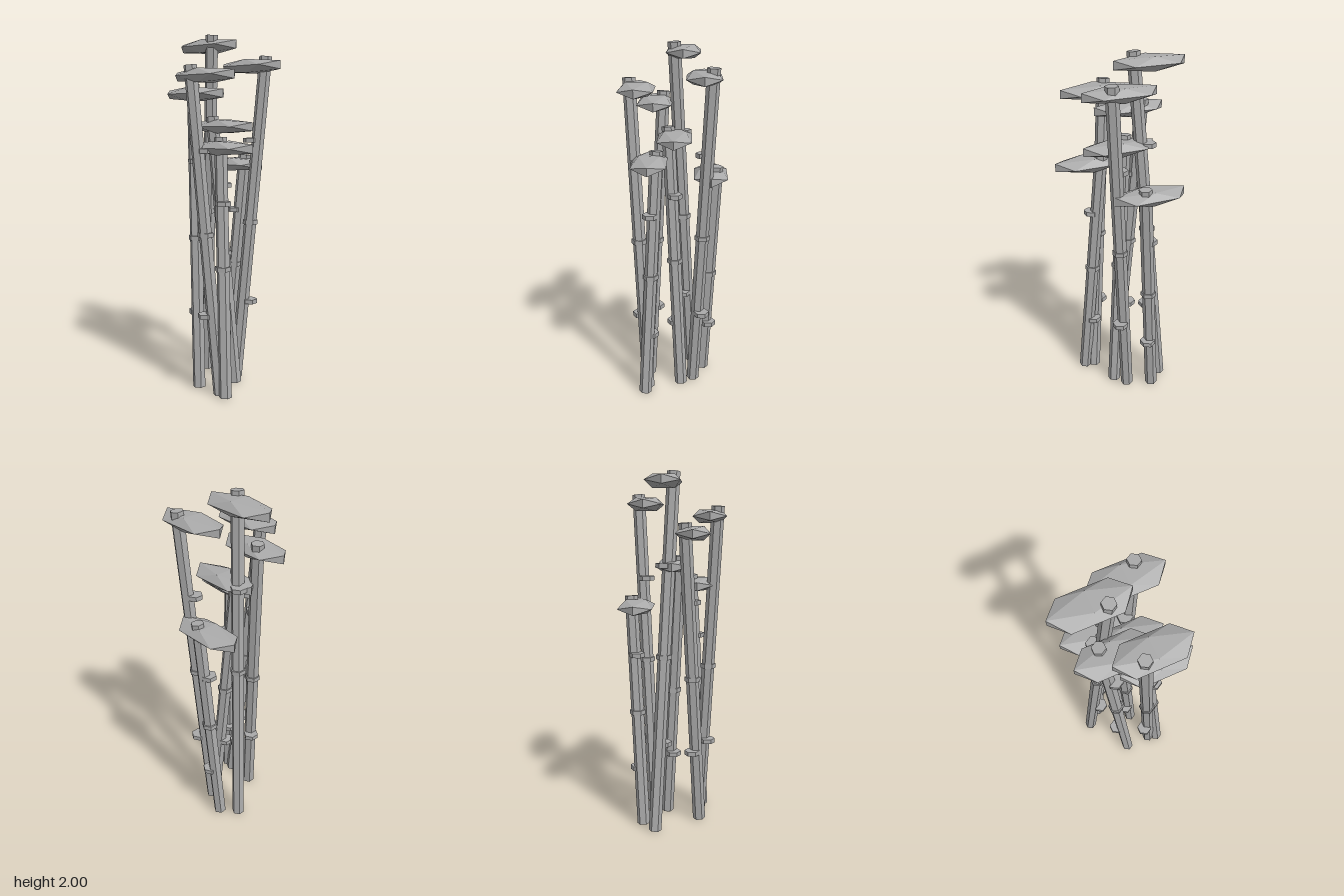
import * as THREE from 'three';

export function createModel() {
  const model = new THREE.Group();
  model.name = 'bambooCluster';
  const grey = new THREE.MeshStandardMaterial({ color: 0xaaaaaa, flatShading: true });
  grey.name = 'plainGrey';

  // six-sided prism with corners pointing along x
  const prism = (radius, height) =>
    new THREE.CylinderGeometry(radius, radius, height, 6).rotateY(Math.PI / 6);

  const nodeGeometry = prism(0.044, 0.025);
  const leafGeometry = new THREE.IcosahedronGeometry(0.11, 0).scale(1, 0.4, 2.2);

  const add = (parent, name, geometry, y) => {
    const mesh = new THREE.Mesh(geometry, grey);
    mesh.name = name;
    mesh.position.y = y;
    parent.add(mesh);
    return mesh;
  };

  // x, z, height, and the lean direction of the top along x and z
  const stalks = [
    [-0.2, 0.065, 1.82, -1, -1],
    [0.044, -0.134, 2.0, -1, 1],
    [0.156, 0.087, 1.885, 1, 1],
    [-0.112, -0.09, 1.73, 1, -1],
    [0, 0.022, 1.552, -1, -1],
    [-0.133, 0.134, 1.44, 1, -1],
    [0.2, -0.07, 1.33, 1, 1],
  ];

  for (const [x, z, height, leanX, leanZ] of stalks) {
    const plant = new THREE.Group();
    plant.name = 'bambooPlant';
    plant.position.set(x, 0, z);
    model.add(plant);

    // leaning cane, turned about its middle
    const cane = add(plant, 'cane', prism(0.036, height - 0.004), height / 2);
    cane.rotation.set(0.07 * leanZ, 0, -0.05 * leanX);

    // upright rings at each quarter of the height
    for (let i = 1; i <= 3; i++) add(plant, 'caneNode', nodeGeometry, (height * i) / 4);

    // flat leaf crown just below the tip
    add(plant, 'leafCrown', leafGeometry, height - 0.06);
  }
  return model;
}
